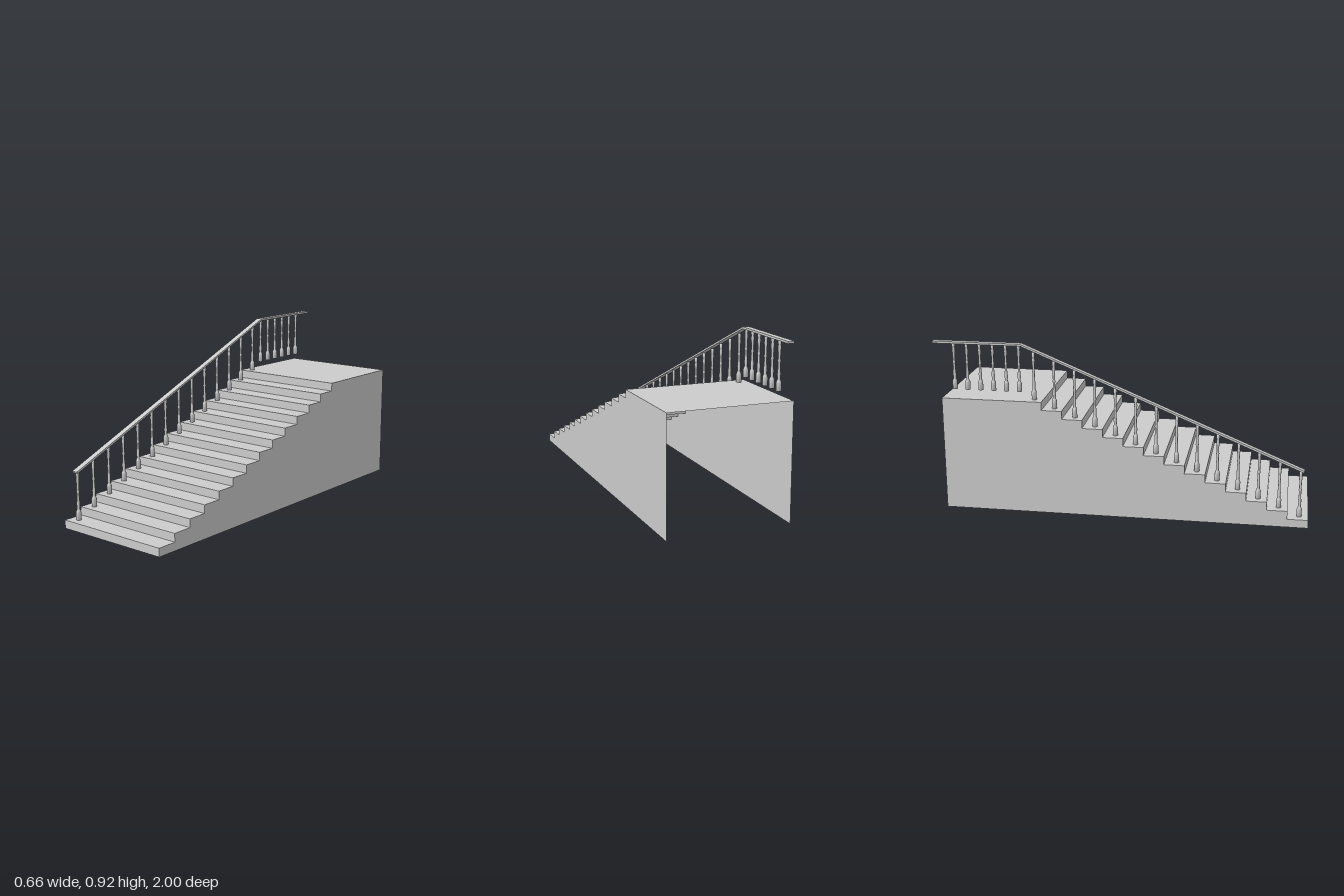
import * as THREE from 'three';

const STEPS = 14, RISE = 0.62 / STEPS, RUN = 0.1085;
const HALF_W = 0.329, FRONT = 1, BACK = -0.95, RAIL_X = -0.278;

export function createModel() {
  const model = new THREE.Group();
  const solid = new THREE.MeshStandardMaterial({ color: 0xcccccc });
  const shell = new THREE.MeshStandardMaterial({ color: 0xcccccc, side: THREE.DoubleSide });

  const add = (name, geometry, material, x = 0, y = 0, z = 0, parent = model) => {
    const mesh = new THREE.Mesh(geometry, material);
    mesh.name = name;
    mesh.position.set(x, y, z);
    parent.add(mesh);
    return mesh;
  };

  // Side outlines are drawn as (z, y) and turned to face along x
  const sideShape = (points) => new THREE.Shape(points.map(([z, y]) => new THREE.Vector2(-z, y)));

  // Risers and treads: an open shell, the last tread being the landing
  const steps = new THREE.Group();
  steps.name = 'steps';
  model.add(steps);
  const outline = [[FRONT, 0]];
  const riser = new THREE.PlaneGeometry(2 * HALF_W, RISE);
  for (let i = 0; i < STEPS; i++) {
    const z = FRONT - i * RUN, top = (i + 1) * RISE;
    const end = i === STEPS - 1 ? BACK : z - RUN;
    const tread = new THREE.PlaneGeometry(2 * HALF_W, z - end).rotateX(-Math.PI / 2);
    add('riser', riser, shell, 0, top - RISE / 2, z, steps);
    add(i === STEPS - 1 ? 'landing' : 'tread', tread, shell, 0, top, (z + end) / 2, steps);
    outline.push([z, top], [end, top]);
  }
  outline.push([BACK, 0]);

  // Stepped side walls; underside and back stay open
  const wall = new THREE.ShapeGeometry(sideShape(outline)).rotateY(Math.PI / 2);
  add('leftWall', wall, shell, HALF_W);
  add('rightWall', wall, shell, -HALF_W);

  // Handrail: flat strip that slopes up, then runs level past the landing
  const railShape = sideShape([
    [0.97, 0.302], [-0.525, 0.92], [-1, 0.92],
    [-1, 0.909], [-0.523, 0.909], [0.966, 0.292],
  ]);
  const railW = 0.033;
  const rail = new THREE.ExtrudeGeometry(railShape, { depth: railW, bevelEnabled: false });
  rail.rotateY(Math.PI / 2);
  add('handrail', rail, solid, RAIL_X - railW / 2);

  // Turned balusters
  const profile = [
    [0, 0], [0.0135, 0], [0.0135, 0.042], [0.0105, 0.05], [0.0075, 0.058],
    [0.0088, 0.085], [0.0065, 0.112], [0.0062, 0.14], [0.0085, 0.148], [0.0062, 0.156],
    [0.0065, 0.185], [0.0085, 0.215], [0.007, 0.228], [0.0085, 0.234], [0.0085, 0.255], [0, 0.255],
  ].map(([r, y]) => new THREE.Vector2(r, y));
  const baluster = new THREE.LatheGeometry(profile, 12);
  const balusters = new THREE.Group();
  balusters.name = 'balusters';
  model.add(balusters);
  for (let i = 0; i < STEPS; i++) {
    add('stairBaluster', baluster, solid, RAIL_X, (i + 1) * RISE, 0.952 - i * RUN, balusters);
  }
  for (let i = 0; i < 6; i++) {
    add('landingBaluster', baluster, solid, RAIL_X, 0.66, -0.537 - i * 0.0705, balusters);
  }
  return model;
}
